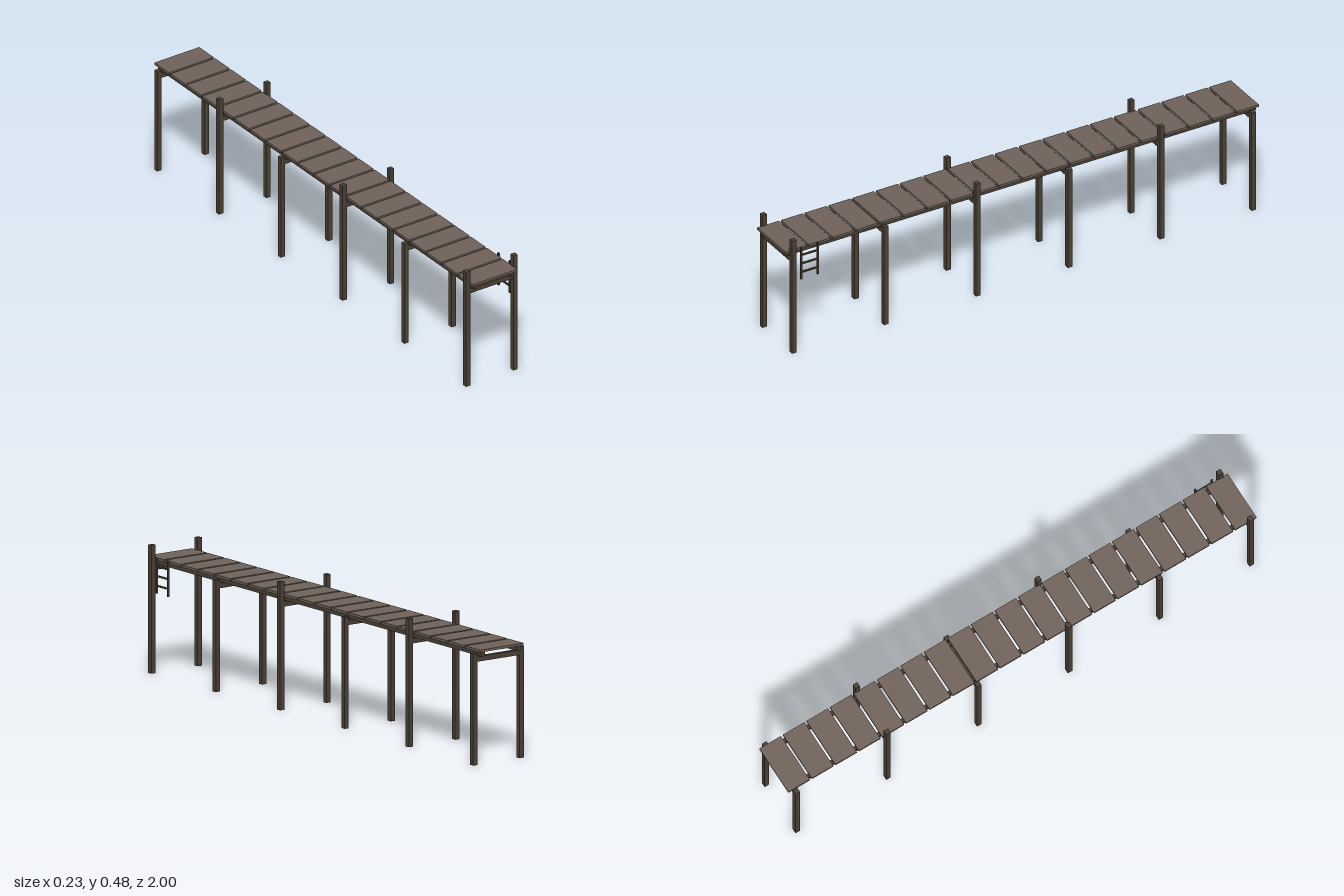
import * as THREE from 'three';

const mat = (name, color) => {
  const m = new THREE.MeshStandardMaterial({ color });
  m.name = name;
  return m;
};

export function createModel() {
  const pier = new THREE.Group();
  pier.name = 'pier';
  const plankWood = mat('weathered plank wood', 0x70635a);
  const frameWood = mat('dark frame wood', 0x4b4236);

  const box = (name, material, [w, h, d], [x, y, z], parent = pier) => {
    const mesh = new THREE.Mesh(new THREE.BoxGeometry(w, h, d), material);
    mesh.name = name;
    mesh.position.set(x, y, z);
    parent.add(mesh);
    return mesh;
  };

  // Deck: twenty planks with narrow gaps
  const deck = new THREE.Group();
  deck.name = 'deck';
  pier.add(deck);
  const count = 20, gap = 0.009, pitch = (2 + gap) / count;
  for (let i = 0; i < count; i++) {
    const z = -1 + (pitch - gap) / 2 + i * pitch;
    box('plank', plankWood, [0.198, 0.009, pitch - gap], [0, 0.4258, z], deck);
  }

  // Two long stringers under the planks
  for (const s of [-1, 1]) {
    box('stringer', frameWood, [0.016, 0.018, 1.99], [s * 0.08, 0.4125, 0], pier);
  }

  // Six trestles, alternating tall and short posts, each with a cross beam
  for (let i = 0; i < 6; i++) {
    const trestle = new THREE.Group();
    trestle.name = 'trestle';
    trestle.position.z = 0.97 - i * 0.388;
    pier.add(trestle);
    const h = i % 2 === 0 ? 0.476 : 0.414;
    for (const s of [-1, 1]) {
      box('post', frameWood, [0.019, h, 0.019], [s * 0.105, h / 2, 0], trestle);
    }
    box('crossBeam', frameWood, [0.192, 0.019, 0.016], [0, 0.392, 0], trestle);
  }

  // Small ladder on the left side near the front
  const ladder = new THREE.Group();
  ladder.name = 'ladder';
  ladder.position.set(0.108, 0, 0.903);
  pier.add(ladder);
  for (const s of [-1, 1]) {
    box('ladderRail', frameWood, [0.007, 0.133, 0.007], [0, 0.3675, s * 0.035], ladder);
  }
  for (const y of [0.33, 0.366, 0.402]) {
    box('ladderRung', frameWood, [0.006, 0.006, 0.07], [0, y, 0], ladder);
  }

  return pier;
}
